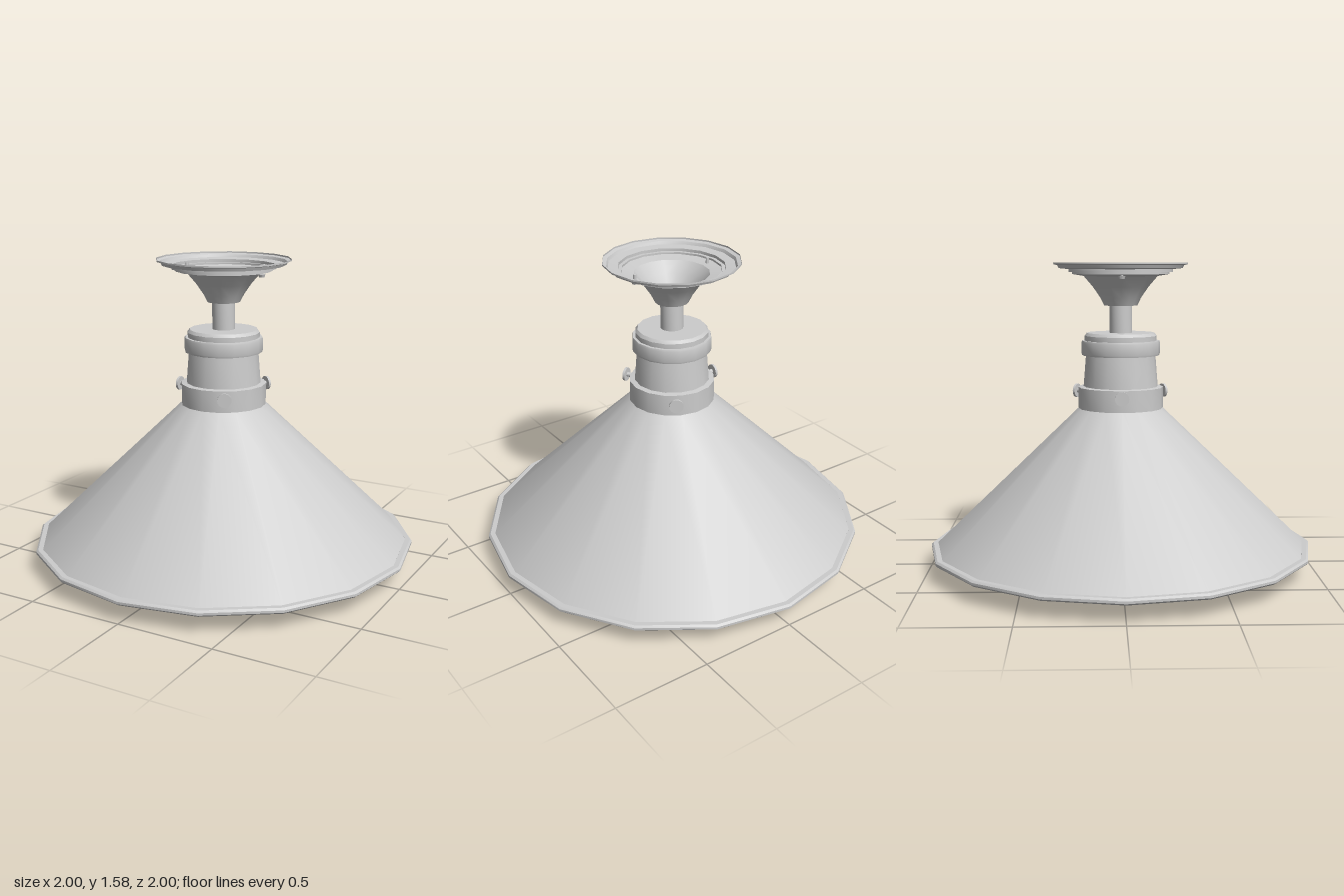
import * as THREE from 'three';
import { toCreasedNormals } from 'three/addons/utils/BufferGeometryUtils.js';

export function createModel() {
  const group = new THREE.Group();
  const metal = new THREE.MeshStandardMaterial({ color: 0xcccccc, side: THREE.DoubleSide });
  metal.name = 'light grey metal';

  const add = (name, geometry, parent = group) => {
    const mesh = new THREE.Mesh(toCreasedNormals(geometry, 0.55), metal);
    mesh.name = name;
    parent.add(mesh);
    return mesh;
  };
  // Turned part from [radius, height] pairs, listed so the outside runs upwards
  const turned = (name, profile, sides = 16) =>
    add(name, new THREE.LatheGeometry(profile.map(([r, y]) => new THREE.Vector2(r, y)), sides));

  // Thin conical shade and its bevelled rim
  turned('shade', [[0.2, 0.835], [0.955, 0.11], [0.97, 0.12], [0.215, 0.845], [0.2, 0.835]]);
  turned('shadeRim', [
    [0.955, 0.115], [0.965, 0.097], [0.99, 0.095], [1, 0.104],
    [1, 0.116], [0.99, 0.125], [0.965, 0.125], [0.955, 0.115],
  ]);

  // Globe: round below, tapering into the neck above
  const globe = [];
  for (let i = 0; i <= 4; i++) {
    const a = (i * Math.PI) / 8;
    globe.push([0.47 * Math.sin(a), 0.475 - 0.47 * Math.cos(a)]);
  }
  globe.push([0.4, 0.63], [0.27, 0.76], [0.17, 0.85], [0.15, 0.95]);
  turned('globe', globe);

  // Collar, neck and stepped cap
  turned('collar', [[0.19, 0.84], [0.22, 0.84], [0.22, 0.95], [0.185, 0.955]]);
  turned('neck', [[0.193, 0.95], [0.18, 1.115]]);
  turned('cap', [
    [0.17, 1.115], [0.2, 1.115], [0.203, 1.125], [0.203, 1.18], [0.2, 1.19],
    [0.186, 1.19], [0.186, 1.215], [0.175, 1.23], [0, 1.23],
  ]);
  turned('stem', [[0.058, 1.23], [0.058, 1.375], [0, 1.375]], 24);

  // Hollow ceiling canopy with stepped flange
  turned('canopy', [
    [0, 1.37], [0.085, 1.37], [0.105, 1.41], [0.143, 1.465], [0.19, 1.52],
    [0.25, 1.53], [0.25, 1.54], [0.268, 1.54], [0.268, 1.555], [0.318, 1.56],
    [0.325, 1.575], [0.345, 1.58], [0.345, 1.588],
  ]);

  // Three thumbscrews around the collar
  for (const degrees of [60, 180, 300]) {
    const screw = new THREE.Group();
    screw.name = 'thumbscrew';
    screw.position.y = 0.915;
    screw.rotation.y = -THREE.MathUtils.degToRad(degrees);
    const shank = add('thumbscrewShank', new THREE.CylinderGeometry(0.012, 0.012, 0.07, 10), screw);
    const head = add('thumbscrewHead', new THREE.CylinderGeometry(0.036, 0.036, 0.012, 16), screw);
    shank.rotation.z = head.rotation.z = -Math.PI / 2;
    shank.position.x = 0.23;
    head.position.x = 0.264;
    group.add(screw);
  }

  // Two small screws under the canopy
  for (const side of [-1, 1]) {
    const screw = add('canopyScrew', new THREE.CylinderGeometry(0.018, 0.014, 0.014, 12));
    screw.position.set(side * 0.217, 1.514, 0);
    const shank = add('canopyScrewShank', new THREE.CylinderGeometry(0.008, 0.008, 0.04, 8));
    shank.position.set(side * 0.217, 1.535, 0);
  }

  return group;
}
